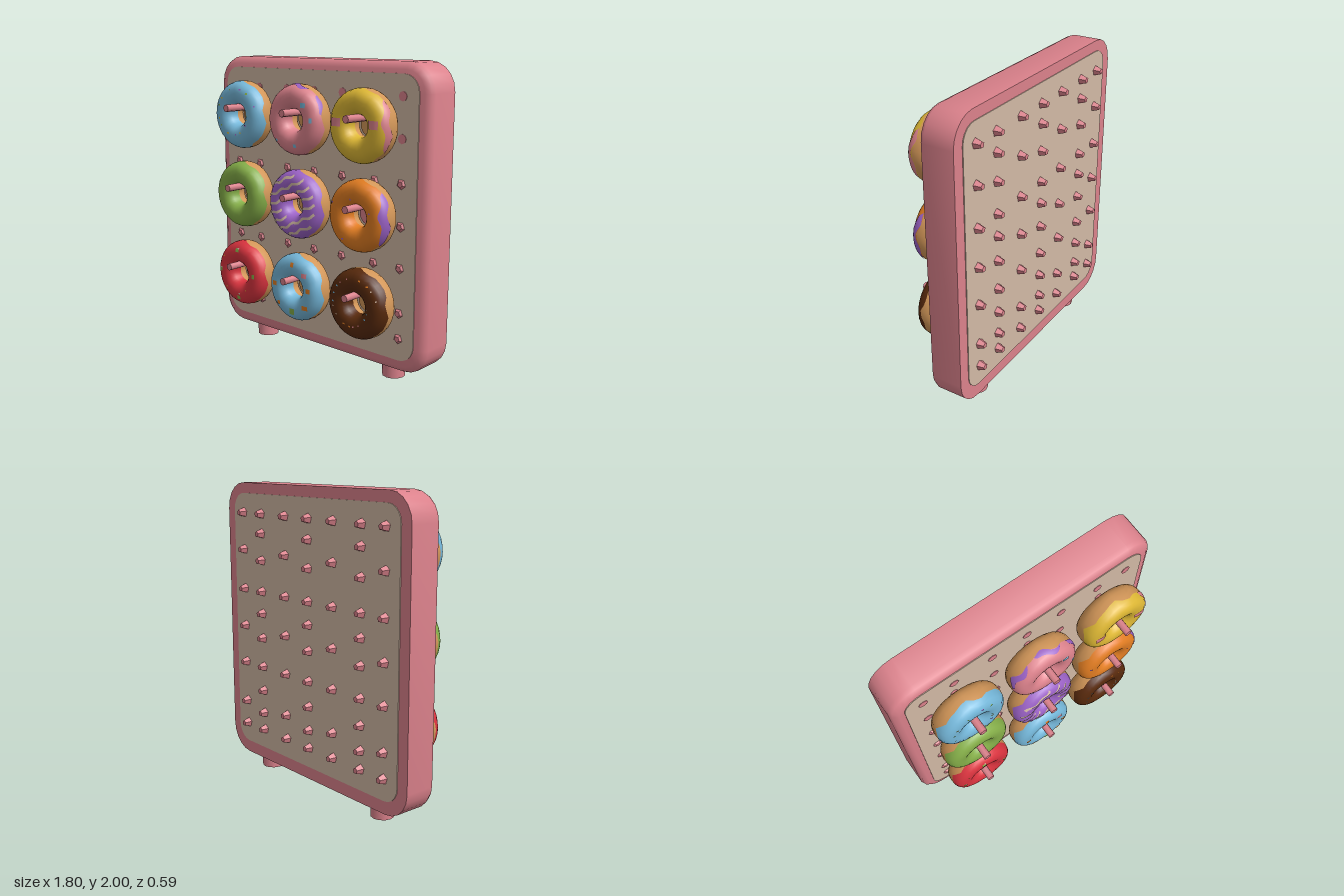
import * as THREE from 'three';
import { mergeVertices, toCreasedNormals } from 'three/addons/utils/BufferGeometryUtils.js';

const mat = {};
const colours = {
  pink: 0xdc828c, cream: 0xd2b9a5, dough: 0xd29658, blue: 0x74b6d8, yellow: 0xdcb634,
  green: 0x84ad48, purple: 0x9b62c6, orange: 0xe07c22, red: 0xd8333e, brown: 0x57290c,
};
for (const [name, hex] of Object.entries(colours)) {
  mat[name] = new THREE.MeshStandardMaterial({ color: hex });
  mat[name].name = name;
}

function add(parent, name, geometry, colour, x = 0, y = 0, z = 0) {
  const mesh = new THREE.Mesh(geometry, mat[colour]);
  mesh.name = name;
  mesh.position.set(x, y, z);
  parent.add(mesh);
  return mesh;
}

// Smooth grid surface from a rule fn(u, v) -> [x, y, z]
function skin(nu, nv, fn) {
  const pos = [], idx = [];
  for (let j = 0; j <= nv; j++) for (let i = 0; i <= nu; i++) pos.push(...fn(i / nu, j / nv));
  for (let j = 0; j < nv; j++) for (let i = 0; i < nu; i++) {
    const a = j * (nu + 1) + i, b = a + 1, c = a + nu + 1, d = c + 1;
    idx.push(a, b, d, a, d, c);
  }
  let g = new THREE.BufferGeometry();
  g.setAttribute('position', new THREE.Float32BufferAttribute(pos, 3));
  g.setIndex(idx);
  g = mergeVertices(g, 1e-5);
  g.computeVertexNormals();
  return g;
}

// Rounded rectangle loop, counter-clockwise, centred on the board
const STEPS = 5, BOARD_Y = 1.0425;
function loop(w, h, r) {
  const pts = [];
  for (let k = 0; k < 4; k++) for (let i = 0; i <= STEPS; i++) {
    const a = (k + i / STEPS) * Math.PI / 2;
    const sx = k === 0 || k === 3 ? 1 : -1, sy = k < 2 ? 1 : -1;
    pts.push(new THREE.Vector2(sx * (w - r) + r * Math.cos(a), sy * (h - r) + r * Math.sin(a)));
  }
  return pts;
}

// Donut cross-section: phi 0 = outer rim, PI/2 = front, PI = hole
const R = 0.145, A = 0.08, B = 0.09, P = 0.85, TAU = Math.PI * 2;
const soft = (v) => Math.sign(v) * Math.abs(v) ** P;
function onDonut(theta, phi, grow = 0) {
  const r = R + (A + grow) * soft(Math.cos(phi));
  return [r * Math.cos(theta), r * Math.sin(theta), (B + grow) * soft(Math.sin(phi))];
}
const drip = (theta) => 0.2 + 0.14 * Math.sin(6 * theta + 0.7) + 0.07 * Math.sin(11 * theta);

// Thin decoration strip following the front of a donut
function ribbon(x0, y0, x1, y1, width, wiggle = 0) {
  const len = Math.hypot(x1 - x0, y1 - y0), dx = (x1 - x0) / len, dy = (y1 - y0) / len;
  return skin(Math.max(2, Math.ceil(len / 0.015)), 2, (u, v) => {
    const off = (v - 0.5) * width + wiggle * Math.sin(u * len * 60);
    const x = x0 + dx * len * u - dy * off, y = y0 + dy * len * u + dx * off;
    const t = Math.min(1, Math.abs(Math.hypot(x, y) - R) / A);
    const c = t ** (1 / P);
    return [x, y, B * Math.sqrt(1 - c * c) ** P + 0.004];
  });
}

// Side patch of a second icing colour: [centre angle, half width, height]
function sidePatch([mid, half, height]) {
  return skin(16, 5, (u, v) => {
    const th = mid + (u * 2 - 1) * half;
    return onDonut(th, drip(th) + v * height * Math.sqrt(Math.sin(Math.PI * u) + 1e-9), 0.003);
  });
}

function donut({ icing, hole = 'dough', chips = [], patches = [], patchColour, stripes }) {
  const g = new THREE.Group();
  add(g, 'dough', skin(32, 12, (u, v) => {
    const th = u * TAU, a = Math.PI, b = TAU + drip(th);
    return onDonut(th, a + (b - a) * v);
  }), 'dough');
  add(g, 'icing', skin(32, 12, (u, v) => {
    const th = u * TAU, a = drip(th);
    return onDonut(th, a + (Math.PI - a) * v);
  }), icing);
  add(g, 'holeBack', new THREE.CircleGeometry(0.07, 20), hole, 0, 0, -0.06);
  for (const p of patches) add(g, 'icingPatch', sidePatch(p), patchColour);
  for (const [x, y, w, h, colour] of chips) add(g, 'sprinkle', ribbon(x - w / 2, y, x + w / 2, y, h), colour);
  if (stripes) {
    const ca = Math.cos(0.42), sa = Math.sin(0.42);
    for (let c = -0.17; c < 0.18; c += 0.057) {
      const L = Math.sqrt(0.2 ** 2 - c * c);
      const gap = Math.abs(c) < 0.095 ? Math.sqrt(0.095 ** 2 - c * c) : 0;
      for (const [s, e] of gap ? [[-L, -gap], [gap, L]] : [[-L, L]]) {
        add(g, 'drizzle', ribbon(s * ca - c * sa, s * sa + c * ca, e * ca - c * sa, e * sa + c * ca, 0.017, 0.007), stripes);
      }
    }
  }
  return g;
}

// Tiny sprinkles spread around the ring
function scatter(n, size, names, start = 0) {
  return Array.from({ length: n }, (_, i) => {
    const a = start + i * 2.4, r = 0.11 + 0.085 * ((i * 0.618) % 1);
    return [r * Math.cos(a), r * Math.sin(a), size * (1 + (i % 2) * 0.6), size, names[i % names.length]];
  });
}

export function createModel() {
  const model = new THREE.Group();
  model.name = 'donutBoard';

  // Board frame: flat back, rounded front edge
  const sections = [[0.2, -0.245], [0, -0.245], [0, -0.05], [0.012, -0.025], [0.045, -0.005], [0.2, -0.005]];
  const loops = sections.map(([inset, z]) => {
    const pts = loop(0.9 - inset, 0.9575 - inset, Math.max(0.05, 0.18 - inset));
    return [...pts, pts[0]].map((p) => [p.x, p.y, z]);
  });
  const cols = loops[0].length - 1, rows = loops.length - 1;
  const frame = skin(cols, rows, (u, v) => loops[Math.round(v * rows)][Math.round(u * cols)]);
  add(model, 'frame', toCreasedNormals(frame, 0.75), 'pink', 0, BOARD_Y);

  // Cream panels on both faces
  const panel = new THREE.ExtrudeGeometry(new THREE.Shape(loop(0.82, 0.88, 0.11)), { depth: 0.006, bevelEnabled: false });
  add(model, 'frontPanel', panel, 'cream', 0, 1.05, -0.006);
  add(model, 'backPanel', panel, 'cream', 0, 1.05, -0.25);

  // Feet
  for (const s of [-1, 1]) {
    add(model, 'foot', new THREE.CylinderGeometry(0.077, 0.075, 0.12, 12), 'pink', s * 0.577, 0.06, -0.135);
  }

  // Small five-sided studs: tall on the back, shallow on the front
  const stud = (h) => toCreasedNormals(new THREE.CylinderGeometry(0.02, 0.034, h, 5), 0.3);
  const backStud = stud(0.046).rotateX(-Math.PI / 2);
  const frontStud = stud(0.014).rotateX(Math.PI / 2);
  const flatStud = new THREE.CylinderGeometry(0.03, 0.03, 0.004, 8).rotateX(Math.PI / 2);
  const sparse = [1.8, 1.55, 1.28, 1.02, 0.76, 0.475, 0.31];
  const dense = [1.8, 1.67, 1.49, 1.28, 1.13, 0.96, 0.76, 0.59, 0.43, 0.31];
  [-0.705, -0.5, -0.24, 0, 0.24, 0.5, 0.705].forEach((x, i) => {
    for (const y of i % 2 ? dense : sparse) add(model, 'backStud', backStud, 'pink', x, y, -0.272);
    for (const y of sparse) {
      const flat = y > 1.4;
      add(model, 'frontStud', flat ? flatStud : frontStud, 'pink', x, y, flat ? 0.001 : 0.006);
    }
  });

  // Nine donuts hanging on stems, row by row from the top left
  const designs = [
    { icing: 'blue', chips: scatter(14, 0.01, ['green', 'yellow', 'purple']) },
    { icing: 'pink', patchColour: 'purple', patches: [[1.45, 0.4, 0.4], [2.6, 0.5, 0.45], [0.5, 0.3, 0.35], [4.2, 0.4, 0.3]],
      chips: [[0.11, 0.1, 0.04, 0.03, 'blue'], [0.17, 0.01, 0.02, 0.03, 'blue'], [0.04, -0.155, 0.025, 0.02, 'blue'], [-0.12, -0.13, 0.02, 0.02, 'blue']] },
    { icing: 'yellow', patchColour: 'pink', patches: [[0.05, 0.75, 0.6]],
      chips: [[-0.142, 0.02, 0.07, 0.05, 'pink'], [0.142, 0.02, 0.07, 0.05, 'pink']] },
    { icing: 'green' },
    { icing: 'purple', stripes: 'cream' },
    { icing: 'orange', hole: 'pink', patchColour: 'purple', patches: [[0, 0.8, 0.75]],
      chips: scatter(4, 0.01, ['purple'], 1.8) },
    { icing: 'red', chips: [[0, 0.17, 0.03, 0.025, 'green'], [-0.165, 0.01, 0.025, 0.03, 'green'], [0.155, 0.01, 0.025, 0.03, 'green'],
      [0.01, -0.165, 0.03, 0.025, 'green'], ...scatter(8, 0.009, ['yellow', 'cream'], 0.6)] },
    { icing: 'blue', chips: [[0.01, 0.165, 0.025, 0.03, 'orange'], [-0.145, 0.015, 0.035, 0.03, 'orange'], [0.15, 0.015, 0.035, 0.03, 'orange'],
      [0.115, 0.11, 0.04, 0.03, 'pink'], [0.12, -0.105, 0.045, 0.03, 'orange'], [0.01, -0.15, 0.04, 0.04, 'green'], [-0.11, -0.11, 0.025, 0.025, 'orange']] },
    { icing: 'brown', chips: scatter(18, 0.009, ['cream', 'blue', 'pink', 'orange']) },
  ];
  const xs = [-0.512, 0, 0.517], ys = [1.625, 1.085, 0.532];
  const stem = toCreasedNormals(new THREE.CylinderGeometry(0.024, 0.024, 0.3, 8).rotateX(Math.PI / 2), 0.9);
  designs.forEach((design, i) => {
    const x = xs[i % 3], row = Math.floor(i / 3);
    const d = donut(design);
    d.name = design.icing + 'Donut';
    d.position.set(x, ys[row], 0.13);
    model.add(d);
    add(model, 'stem', stem, 'pink', x, ys[row] + 0.05 + row * 0.008, 0.145);
  });
  return model;
}
